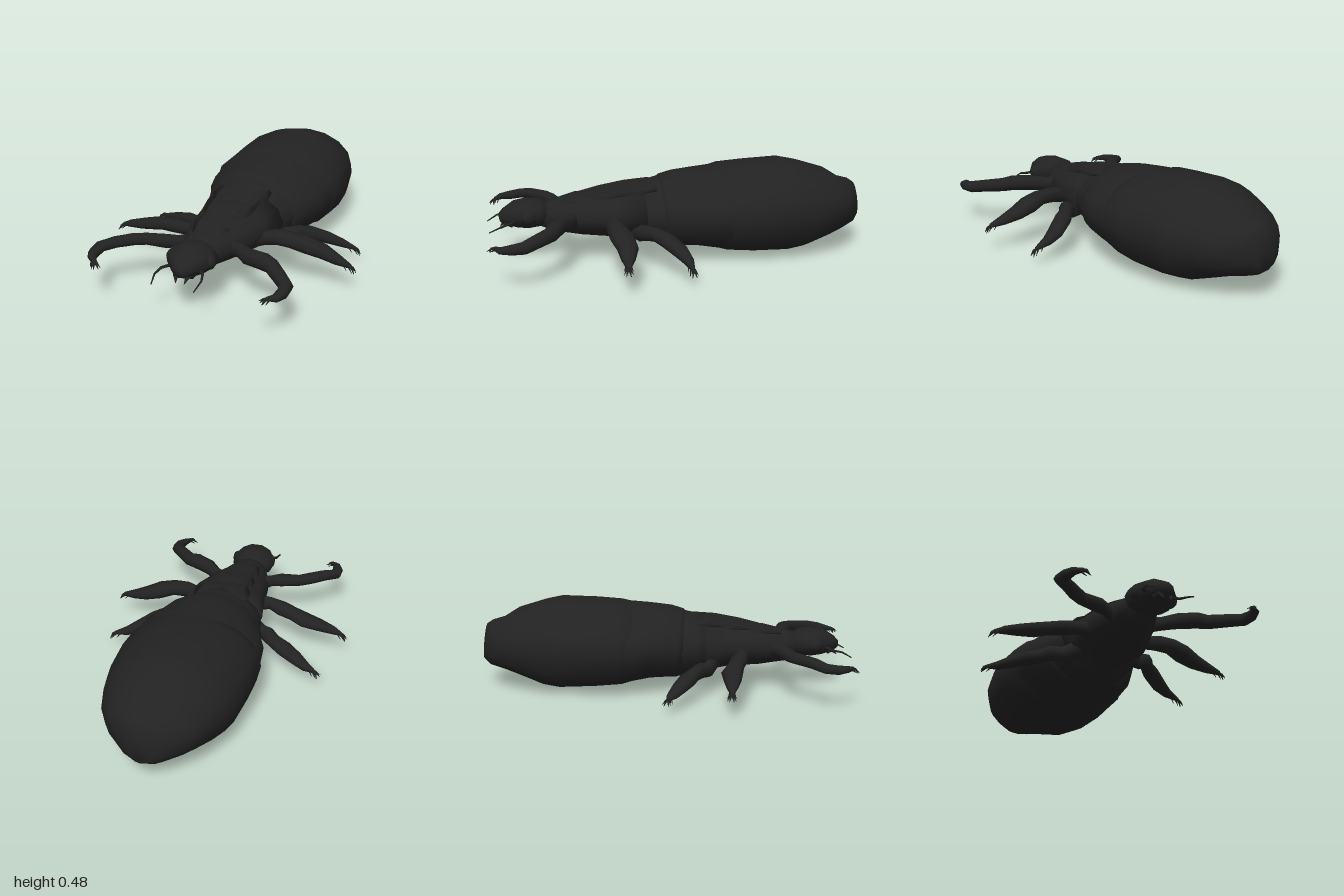
import * as THREE from 'three';

const material = new THREE.MeshStandardMaterial({ color: 0x222222, side: THREE.DoubleSide });

// Closed skin through rounded sections [x, y, z, halfWidth, halfHeight];
// roof and belly shape the upper and lower halves: above 1 is leaner, below 1 is fuller
function loft(name, stations, sides = 8, roof = 1, belly = 1) {
  const pos = [], index = [];
  const pts = stations.map(s => new THREE.Vector3(s[0], s[1], s[2]));
  const last = pts.length - 1;
  const bend = (v, e) => Math.sign(v) * Math.abs(v) ** e;
  pts.forEach((p, i) => {
    const t = pts[Math.min(i + 1, last)].clone().sub(pts[Math.max(i - 1, 0)]).normalize();
    const s = new THREE.Vector3(0, 1, 0).cross(t).normalize();
    const u = t.clone().cross(s);
    for (let j = 0; j < sides; j++) {
      const a = (j / sides) * Math.PI * 2;
      const e = Math.sin(a) > 0 ? roof : belly;
      const q = p.clone().addScaledVector(s, bend(Math.cos(a), e) * stations[i][3])
        .addScaledVector(u, bend(Math.sin(a), e) * stations[i][4]);
      pos.push(q.x, q.y, q.z);
    }
  });
  const start = pos.length / 3;
  pos.push(...pts[0].toArray(), ...pts[last].toArray());
  for (let j = 0; j < sides; j++) {
    const k = (j + 1) % sides;
    for (let i = 0; i < last; i++) {
      const a = i * sides + j, b = i * sides + k;
      index.push(a, b, a + sides, b, b + sides, a + sides);
    }
    index.push(start, k, j, start + 1, last * sides + j, last * sides + k);
  }
  const g = new THREE.BufferGeometry();
  g.setAttribute('position', new THREE.Float32BufferAttribute(pos, 3));
  g.setIndex(index);
  g.computeVertexNormals();
  const mesh = new THREE.Mesh(g, material);
  mesh.name = name;
  return mesh;
}

// Body sections given as [x, z, halfWidth, bottom, top]
const body = (name, rows, sides, roof, belly) =>
  loft(name, rows.map(([x, z, w, lo, hi]) => [x, (lo + hi) / 2, z, w, (hi - lo) / 2]), sides, roof, belly);

// Thin tapering spike between two points
const spike = (name, a, b, r) => {
  const mid = a.map((v, i) => (v + b[i]) / 2 + (i === 1 ? r : 0));
  return loft(name, [[...a, r, r], [...mid, r * 0.8, r * 0.8], [...b, 0.001, 0.001]], 5);
};

// Jointed leg with a clawed foot and a few bristles
function leg(name, rows) {
  const g = new THREE.Group();
  g.name = name;
  g.add(loft('limb', rows, 8));
  const n = rows.length;
  const tip = new THREE.Vector3(...rows[n - 1]);
  const dir = tip.clone().sub(new THREE.Vector3(...rows[n - 2])).normalize();
  const side = new THREE.Vector3(-dir.z, 0, dir.x);
  for (const s of [-1, 1]) {
    const end = tip.clone().addScaledVector(dir, 0.028).addScaledVector(side, s * 0.012);
    end.y -= 0.025;
    g.add(spike('claw', tip.toArray(), end.toArray(), 0.008));
    for (const f of [0.2, 0.65]) {
      const root = new THREE.Vector3(...rows[n - 2]).lerp(tip, f);
      const out = root.clone().addScaledVector(dir, 0.045).addScaledVector(side, s * 0.022);
      out.y -= 0.02;
      g.add(spike('bristle', root.toArray(), out.toArray(), 0.006));
    }
  }
  return g;
}

export function createModel() {
  const model = new THREE.Group();
  model.name = 'insect';

  // Abdomen, in overlapping shells
  model.add(body('abdomenCollar', [
    [0.03, 0.17, 0.19, 0.10, 0.365], [0.06, 0.085, 0.23, 0.07, 0.385],
    [0.095, -0.01, 0.255, 0.05, 0.41], [0.13, -0.08, 0.265, 0.06, 0.415]], 16, 1.15, 0.95));
  model.add(body('abdomenFront', [
    [0.08, 0.035, 0.235, 0.07, 0.39], [0.092, 0.0, 0.262, 0.05, 0.412], [0.12, -0.06, 0.29, 0.05, 0.43],
    [0.155, -0.145, 0.328, 0.05, 0.44], [0.2, -0.28, 0.345, 0.025, 0.455], [0.22, -0.34, 0.34, 0.02, 0.455]], 16, 1.15, 0.9));
  model.add(body('abdomenRear', [
    [0.155, -0.15, 0.29, 0.06, 0.42], [0.2, -0.29, 0.351, 0.02, 0.458], [0.25, -0.42, 0.353, 0.008, 0.47],
    [0.31, -0.6, 0.336, 0.001, 0.48], [0.342, -0.68, 0.317, 0.015, 0.462], [0.385, -0.8, 0.268, 0.06, 0.42],
    [0.41, -0.88, 0.215, 0.09, 0.368], [0.435, -0.95, 0.13, 0.11, 0.352], [0.447, -0.985, 0.06, 0.14, 0.33]], 16, 1.05, 0.85));

  // Thorax with low plates and lengthwise ridges down the back
  model.add(body('thorax', [
    [0.05, 0.12, 0.225, 0.08, 0.372], [0.01, 0.25, 0.205, 0.105, 0.35],
    [-0.064, 0.4, 0.165, 0.115, 0.33], [-0.118, 0.53, 0.112, 0.135, 0.3], [-0.135, 0.6, 0.08, 0.165, 0.288]], 12));
  for (const [x, z, w, y] of [[0.04, 0.14, 0.15, 0.35], [-0.01, 0.28, 0.13, 0.328], [-0.075, 0.42, 0.1, 0.302]]) {
    model.add(loft('backPlate', [
      [x + 0.025, y + 0.008, z - 0.08, w * 0.95, 0.016], [x, y, z, w, 0.024],
      [x - 0.025, y - 0.012, z + 0.08, w * 0.75, 0.014]], 8));
  }
  for (const s of [-1, 1]) {
    model.add(loft('backRidge', [
      [0.075 + s * 0.1, 0.36, 0.05 + s * 0.03, 0.02, 0.015], [0.03 + s * 0.09, 0.345, 0.18 + s * 0.03, 0.028, 0.022],
      [-0.02 + s * 0.075, 0.325, 0.3 + s * 0.025, 0.025, 0.022], [-0.08 + s * 0.055, 0.295, 0.43 + s * 0.02, 0.02, 0.02],
      [-0.12 + s * 0.04, 0.275, 0.54, 0.012, 0.012]], 6));
  }

  // Head, eyes, jaws and feelers
  const head = new THREE.Group();
  head.name = 'head';
  head.add(body('skull', [
    [-0.132, 0.56, 0.075, 0.18, 0.285], [-0.145, 0.605, 0.117, 0.165, 0.305], [-0.155, 0.66, 0.12, 0.16, 0.312],
    [-0.172, 0.72, 0.1, 0.165, 0.302], [-0.19, 0.775, 0.052, 0.18, 0.265], [-0.195, 0.8, 0.022, 0.195, 0.24]], 10));
  for (const [x, z] of [[-0.25, 0.645], [-0.06, 0.69]]) {
    const eye = new THREE.Mesh(new THREE.SphereGeometry(0.036, 8, 6), material);
    eye.name = 'eye';
    eye.scale.set(0.75, 1, 1.3);
    eye.position.set(x, 0.235, z);
    head.add(eye);
  }
  head.add(spike('jaw', [-0.22, 0.19, 0.73], [-0.215, 0.165, 0.79], 0.018));
  head.add(spike('jaw', [-0.14, 0.19, 0.75], [-0.175, 0.165, 0.8], 0.018));
  const feelers = [
    [[-0.24, 0.22, 0.7], [-0.29, 0.21, 0.72], [-0.315, 0.2, 0.77], [-0.325, 0.17, 0.82]],
    [[-0.11, 0.22, 0.74], [-0.09, 0.21, 0.78], [-0.09, 0.2, 0.83], [-0.12, 0.17, 0.885]]];
  for (const f of feelers) head.add(loft('feeler', f.map((p, i) => [...p, 0.009 - i * 0.002, 0.009 - i * 0.002]), 5));
  model.add(head);

  // Legs: hip, narrow joint, thigh, narrow knee, shin, foot
  model.add(leg('leftFrontLeg', [
    [0.0, 0.215, 0.47, 0.045, 0.05], [0.065, 0.22, 0.525, 0.028, 0.038], [0.11, 0.225, 0.6, 0.04, 0.043],
    [0.185, 0.232, 0.665, 0.045, 0.042], [0.225, 0.225, 0.7, 0.038, 0.038], [0.265, 0.215, 0.79, 0.036, 0.034],
    [0.297, 0.205, 0.865, 0.034, 0.032], [0.28, 0.2, 0.925, 0.03, 0.026], [0.25, 0.195, 0.965, 0.022, 0.018],
    [0.215, 0.2, 0.98, 0.01, 0.01]]));
  model.add(leg('rightFrontLeg', [
    [-0.14, 0.215, 0.41, 0.045, 0.05], [-0.24, 0.22, 0.44, 0.026, 0.034], [-0.3, 0.222, 0.445, 0.04, 0.036],
    [-0.4, 0.225, 0.432, 0.036, 0.03], [-0.46, 0.228, 0.445, 0.038, 0.03], [-0.55, 0.225, 0.482, 0.032, 0.03],
    [-0.62, 0.213, 0.515, 0.034, 0.026], [-0.64, 0.205, 0.575, 0.03, 0.024], [-0.64, 0.205, 0.62, 0.022, 0.018],
    [-0.62, 0.2, 0.665, 0.01, 0.01]]));
  model.add(leg('leftMiddleLeg', [
    [0.08, 0.2, 0.35, 0.05, 0.05], [0.175, 0.21, 0.345, 0.03, 0.038], [0.24, 0.225, 0.36, 0.045, 0.042],
    [0.31, 0.222, 0.385, 0.05, 0.04], [0.39, 0.202, 0.395, 0.062, 0.042], [0.47, 0.175, 0.41, 0.052, 0.034],
    [0.54, 0.148, 0.445, 0.034, 0.024], [0.6, 0.13, 0.475, 0.012, 0.012]]));
  model.add(leg('rightMiddleLeg', [
    [-0.13, 0.2, 0.25, 0.05, 0.05], [-0.225, 0.2, 0.235, 0.03, 0.036], [-0.28, 0.195, 0.19, 0.048, 0.036],
    [-0.345, 0.185, 0.145, 0.045, 0.033], [-0.4, 0.172, 0.105, 0.055, 0.033], [-0.48, 0.155, 0.075, 0.044, 0.028],
    [-0.55, 0.14, 0.045, 0.028, 0.02], [-0.595, 0.125, 0.025, 0.01, 0.01]]));
  model.add(leg('leftHindLeg', [
    [0.13, 0.17, 0.22, 0.05, 0.05], [0.235, 0.16, 0.22, 0.026, 0.04], [0.285, 0.18, 0.225, 0.042, 0.042],
    [0.345, 0.18, 0.185, 0.036, 0.036], [0.41, 0.165, 0.16, 0.048, 0.036], [0.5, 0.13, 0.137, 0.045, 0.03],
    [0.57, 0.103, 0.135, 0.03, 0.022], [0.64, 0.08, 0.15, 0.01, 0.01]]));
  model.add(leg('rightHindLeg', [
    [-0.09, 0.17, 0.12, 0.05, 0.05], [-0.165, 0.13, 0.07, 0.026, 0.04], [-0.195, 0.14, 0.015, 0.04, 0.042],
    [-0.225, 0.13, -0.035, 0.038, 0.036], [-0.275, 0.118, -0.09, 0.05, 0.034], [-0.33, 0.1, -0.15, 0.044, 0.028],
    [-0.38, 0.08, -0.205, 0.03, 0.02], [-0.42, 0.075, -0.24, 0.01, 0.01]]));
  return model;
}
